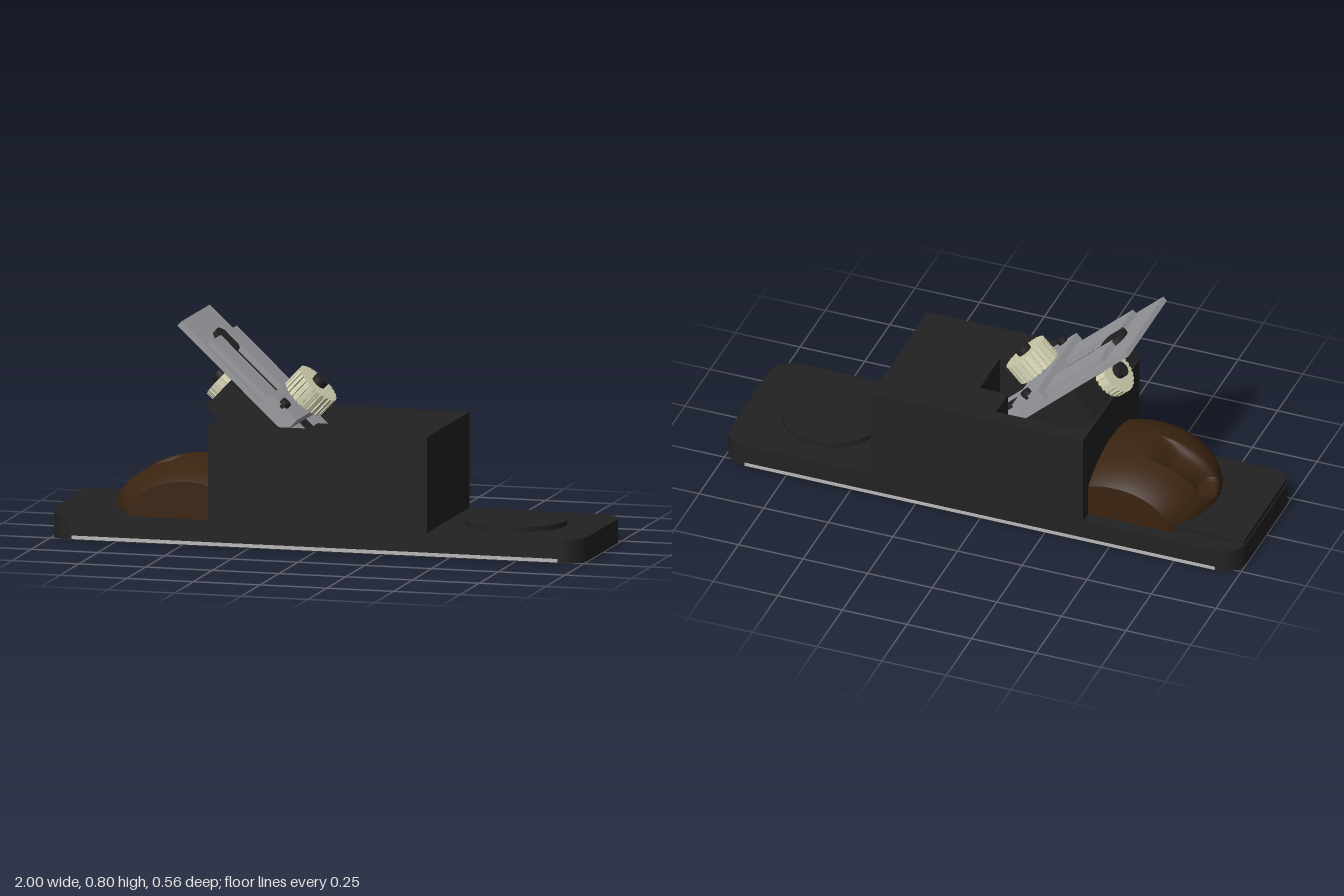
import * as THREE from 'three';
import { ParametricGeometry } from 'three/addons/geometries/ParametricGeometry.js';

const mat = (name, color, side = THREE.FrontSide) => {
  const m = new THREE.MeshStandardMaterial({ color, side });
  m.name = name;
  return m;
};

export function createModel() {
  const black = mat('black iron', 0x222222);
  const steel = mat('steel', 0x9b9ca0);
  const sole = mat('polished sole', 0xb8b8b8);
  const brass = mat('pale brass', 0xd6d4b4);
  const wood = mat('dark wood', 0x3a2410, THREE.DoubleSide);
  const model = new THREE.Group();
  model.name = 'blockPlane';

  const add = (parent, name, geometry, material) => {
    const mesh = new THREE.Mesh(geometry, material);
    mesh.name = name;
    parent.add(mesh);
    return mesh;
  };
  // box given by its limits
  const box = (parent, name, m, x0, x1, y0, y1, z0, z1) => {
    const g = new THREE.BoxGeometry(x1 - x0, y1 - y0, z1 - z0);
    g.translate((x0 + x1) / 2, (y0 + y1) / 2, (z0 + z1) / 2);
    return add(parent, name, g, m);
  };
  const disc = (parent, name, m, r, x, y0, y1, z = 0, sides = 32) => {
    const g = new THREE.CylinderGeometry(r, r, y1 - y0, sides);
    g.translate(x, (y0 + y1) / 2, z);
    return add(parent, name, g, m);
  };
  // plan outline raised from y0 to y1
  const slab = (shape, y0, y1) => {
    const g = new THREE.ExtrudeGeometry(shape, { depth: y1 - y0, bevelEnabled: false, curveSegments: 10 });
    return g.rotateX(-Math.PI / 2).translate(0, y0, 0);
  };
  const points = list => list.map(([x, y]) => new THREE.Vector2(x, y));
  const rect = (x0, x1, w) => points([[x0, -w], [x1, -w], [x1, w], [x0, w]]);

  // base with rounded corners
  const R = 0.09, W = 0.28;
  const outline = new THREE.Shape();
  outline.absarc(1 - R, W - R, R, 0, Math.PI / 2);
  outline.absarc(-1 + R, W - R, R, Math.PI / 2, Math.PI);
  outline.absarc(-1 + R, -W + R, R, Math.PI, Math.PI * 1.5);
  outline.absarc(1 - R, -W + R, R, Math.PI * 1.5, Math.PI * 2);
  add(model, 'base', slab(outline, 0.002, 0.09), black);
  box(model, 'soleEdge', sole, -0.91, 0.91, 0.005, 0.018, -0.282, 0.282);
  box(model, 'mouth', sole, 0.1, 0.15, 0, 0.006, -0.18, 0.18);
  box(model, 'rearPlate', black, -0.995, -0.41, 0.09, 0.108, -0.21, 0.21);
  disc(model, 'frontPad', black, 0.185, 0.675, 0.09, 0.108, 0, 48);

  // body with a stepped throat opening
  const body = new THREE.Shape(rect(-0.4, 0.42, W));
  body.holes.push(new THREE.Path(points([
    [-0.36, -0.22], [-0.36, 0.22], [-0.04, 0.22], [-0.04, 0.1],
    [0.07, 0.1], [0.07, -0.1], [-0.04, -0.1], [-0.04, -0.22]])));
  add(model, 'body', slab(body, 0.09, 0.44), black);

  // wooden palm rest: clipped ellipsoid with a thumb groove
  const cx = -0.5, rx = 0.31, ry = 0.2, rz = 0.312, half = 0.23, endX = -0.4;
  const palm = (z, v, target) => {
    const k = Math.sqrt(1 - (z / rz) ** 2);
    const end = Math.acos((endX - cx) / (rx * k));
    const t = Math.PI + (end - Math.PI) * v;
    const lift = THREE.MathUtils.smoothstep(v, 0.06, 0.2);
    const fade = 1 - THREE.MathUtils.smoothstep(v, 0.5, 0.8);
    const w = 0.075 * Math.sqrt(lift);
    const q = w > 0 && Math.abs(z) < w ? Math.sqrt(1 - (z / w) ** 2) : 0;
    const r = k * (1 - 0.2 * q * lift * fade);
    return target.set(cx + rx * r * Math.cos(t), 0.09 + ry * r * Math.sin(t), z);
  };
  const palmRest = new THREE.Group();
  palmRest.name = 'palmRest';
  model.add(palmRest);
  add(palmRest, 'palmSurface', new ParametricGeometry(
    (u, v, target) => palm((u * 2 - 1) * half, v, target), 64, 40), wood);
  const sidePts = [];
  const p = new THREE.Vector3();
  for (let i = 0; i <= 24; i++) {
    palm(half, i / 24, p);
    sidePts.push(new THREE.Vector2(p.x, p.y));
  }
  sidePts.push(new THREE.Vector2(endX, 0.09));
  for (const s of [-1, 1]) {
    add(palmRest, 'palmSide', new THREE.ShapeGeometry(new THREE.Shape(sidePts)), wood).position.z = s * half;
  }

  // tilted cutter assembly: local x runs down the blade, local y is its normal
  const cutter = new THREE.Group();
  cutter.name = 'cutterAssembly';
  cutter.position.set(-0.527, 0.803, 0);
  cutter.rotation.z = -THREE.MathUtils.degToRad(43);
  model.add(cutter);

  const blade = new THREE.Shape(rect(0, 0.84, 0.19));
  blade.holes.push(new THREE.Path(rect(0.12, 0.76, 0.042).reverse()));
  add(cutter, 'blade', slab(blade, -0.02, 0), steel);
  box(cutter, 'frog', black, 0.279, 0.7, -0.15, -0.02, -0.218, 0.218);
  for (const s of [-1, 1]) {
    const [a, b] = s < 0 ? [-0.165, -0.042] : [0.042, 0.165];
    box(cutter, 'capRail', steel, 0.125, 0.45, 0, 0.024, a, b);
    disc(cutter, 'capScrew', black, 0.019, 0.476, 0.04, 0.068, s * 0.178, 20);
  }
  disc(cutter, 'slotButton', black, 0.055, 0.15, -0.01, 0.02);
  box(cutter, 'adjusterBar', black, 0.15, 0.82, -0.03, 0.004, -0.034, 0.034);
  box(cutter, 'leverBridge', steel, 0.415, 0.55, 0, 0.05, -0.195, 0.195);

  // knurled knob with a hub, standing on its local y axis
  const knob = (name, r, h) => {
    const g = new THREE.Group();
    g.name = name;
    const rim = [], teeth = 24;
    for (let i = 0; i < teeth; i++) {
      [[0, 1], [0.62, 1], [0.66, 0.93], [0.96, 0.93]].forEach(([f, k]) => {
        const a = (i + f) / teeth * Math.PI * 2;
        rim.push(new THREE.Vector2(Math.cos(a) * r * k, Math.sin(a) * r * k));
      });
    }
    add(g, 'knurledWheel', slab(new THREE.Shape(rim), 0, h), brass);
    disc(g, 'hub', black, 0.028, 0, -0.03, h + 0.025, 0, 24);
    cutter.add(g);
    return g;
  };
  knob('frontKnob', 0.087, 0.08).position.set(0.497, 0.063, 0);
  const rear = knob('rearKnob', 0.08, 0.045);
  rear.position.set(0.277, -0.1, 0);
  rear.rotation.z = Math.PI / 2;

  return model;
}
